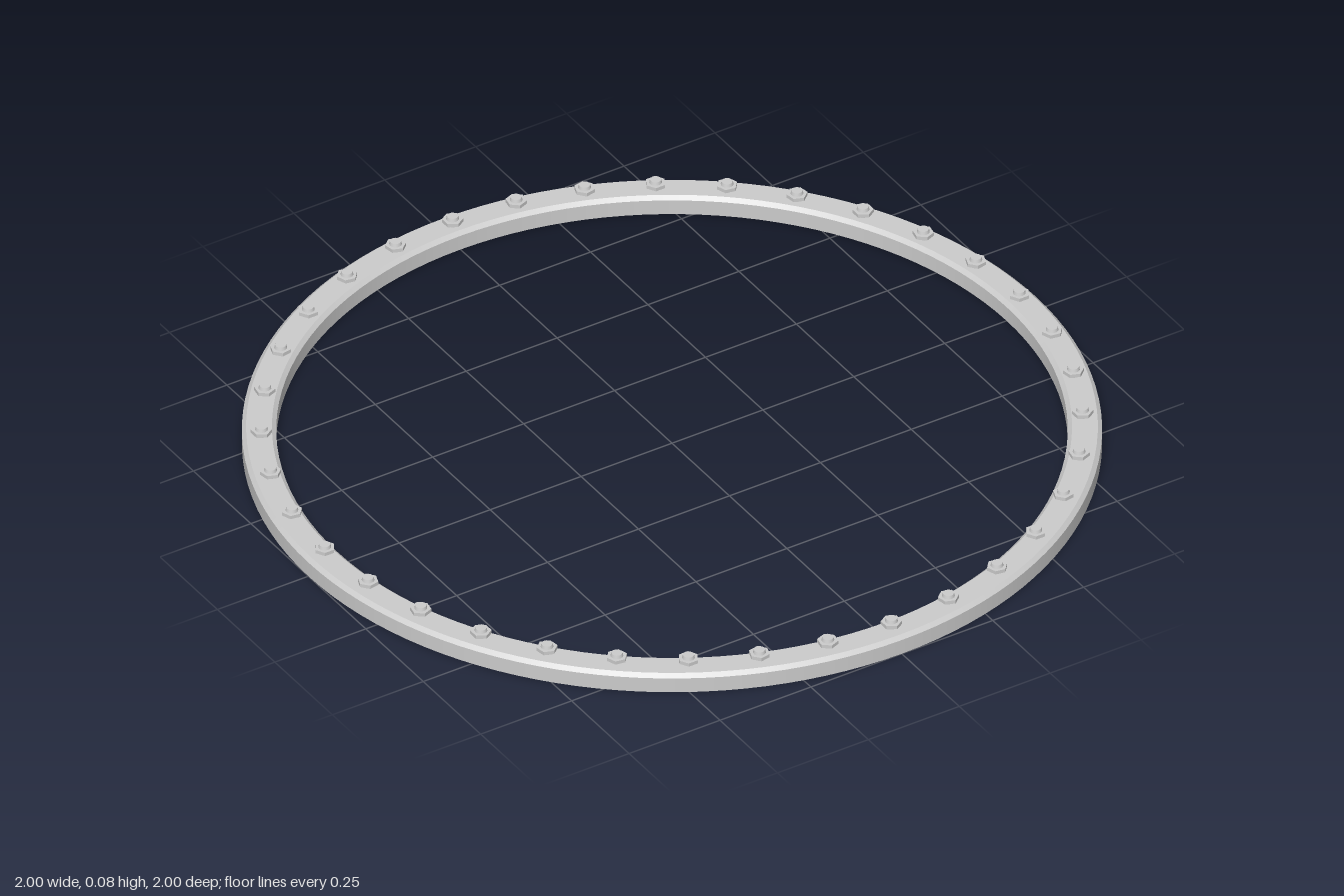
import * as THREE from 'three';
import { mergeGeometries } from 'three/addons/utils/BufferGeometryUtils.js';

const BOLTS = 36;
const BOLT_CIRCLE = 0.955;

// Lathe each profile segment on its own so the edges between them stay sharp
function creasedLathe(profile, segments) {
  const bands = [];
  for (let i = 0; i < profile.length - 1; i++) {
    const pts = [profile[i], profile[i + 1]].map(([r, y]) => new THREE.Vector2(r, y));
    bands.push(new THREE.LatheGeometry(pts, segments));
  }
  return mergeGeometries(bands);
}

// Cylinder spanning two heights
function cylinder(rTop, rBottom, y0, y1, sides) {
  return new THREE.CylinderGeometry(rTop, rBottom, y1 - y0, sides).translate(0, (y0 + y1) / 2, 0);
}

export function createModel() {
  const model = new THREE.Group();
  model.name = 'boltedRing';
  const sheet = new THREE.MeshStandardMaterial({ color: 0xcccccc, side: THREE.DoubleSide });
  const metal = new THREE.MeshStandardMaterial({ color: 0xcccccc });
  const faceted = new THREE.MeshStandardMaterial({ color: 0xcccccc, flatShading: true });

  // Channel ring, open underneath, with chamfered upper edges
  const ring = new THREE.Mesh(creasedLathe([
    [1, 0], [1, 0.039], [0.99, 0.048], [0.93, 0.048], [0.92, 0.039], [0.92, 0],
  ], 128), sheet);
  ring.name = 'channelRing';
  model.add(ring);

  // Bolts: hexagonal head, round stud on top, thin shank down to the ring
  const headGeometry = cylinder(0.025, 0.025, 0.058, 0.067, 6);
  const studGeometry = cylinder(0.013, 0.015, 0.067, 0.075, 16);
  const shankGeometry = cylinder(0.009, 0.009, 0.046, 0.058, 12);
  for (let i = 0; i < BOLTS; i++) {
    const angle = (i / BOLTS) * Math.PI * 2;
    const bolt = new THREE.Group();
    bolt.name = 'bolt' + (i + 1);
    const parts = [
      ['boltHead', headGeometry, faceted],
      ['boltStud', studGeometry, metal],
      ['boltShank', shankGeometry, metal],
    ];
    for (const [name, geometry, material] of parts) {
      const mesh = new THREE.Mesh(geometry, material);
      mesh.name = name;
      bolt.add(mesh);
    }
    bolt.position.set(BOLT_CIRCLE * Math.sin(angle), 0, BOLT_CIRCLE * Math.cos(angle));
    bolt.rotation.y = angle;
    model.add(bolt);
  }
  return model;
}
